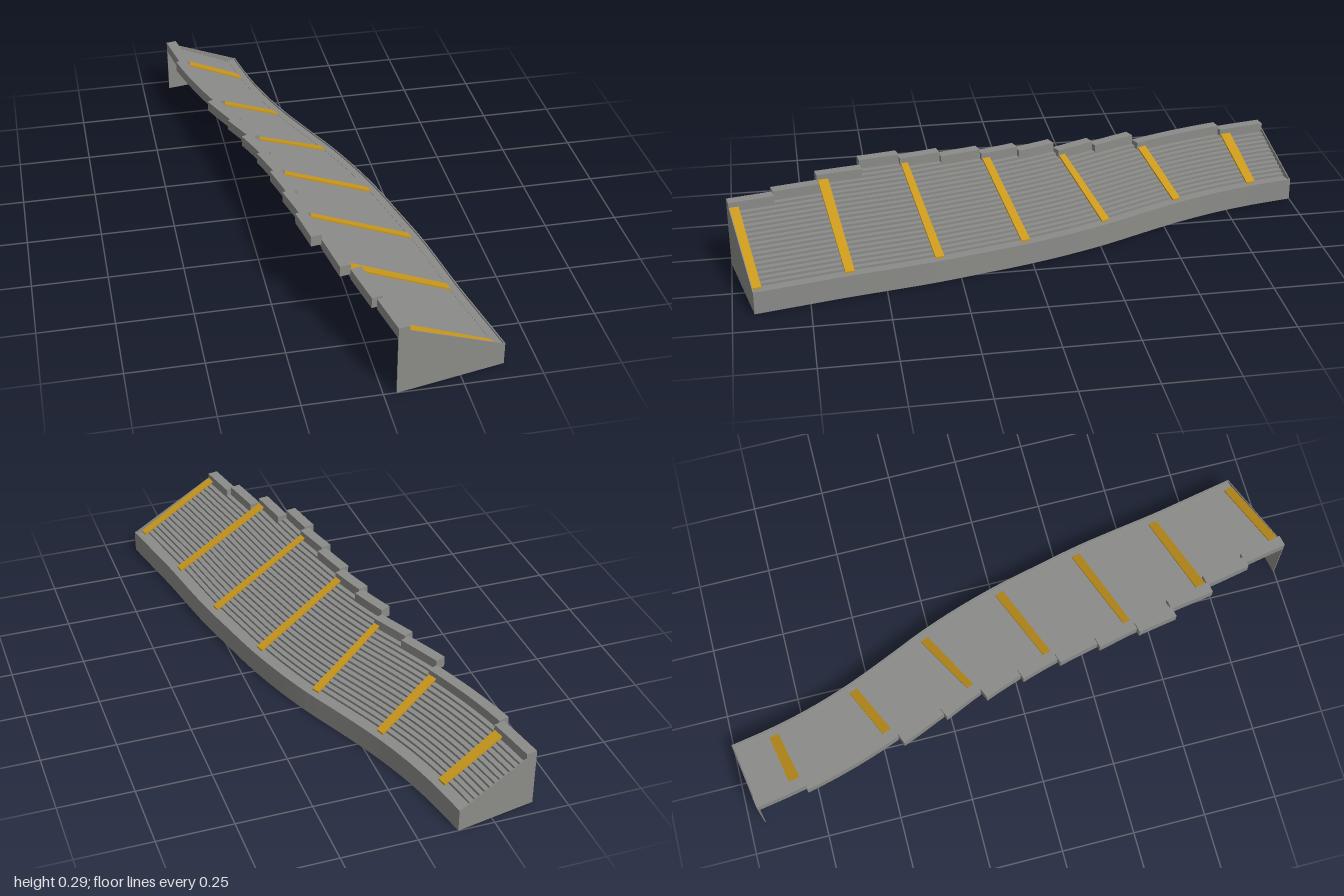
import * as THREE from 'three';

const concrete = new THREE.MeshStandardMaterial({ color: 0x8b8b88 });
concrete.name = 'concrete grey';
const yellow = new THREE.MeshStandardMaterial({ color: 0xc9971c });
yellow.name = 'aisle yellow';

// Foot line of the stand, one point per section boundary (x, z)
const foot = [
  [0.395, 0.93], [0.365, 0.78], [0.335, 0.63], [0.31, 0.48], [0.283, 0.33], [0.248, 0.18], [0.212, 0.03],
  [0.167, -0.12], [0.112, -0.27], [0.05, -0.41], [-0.01, -0.55], [-0.06, -0.69], [-0.1, -0.84], [-0.13, -1.0],
];
// Seating rows in each section
const rows = [17, 18, 20, 22, 21, 20, 19, 18, 16, 15, 13, 13, 12];
const SECTIONS = rows.length;
const DEPTH = 0.0173, RISE = 0.0087, WALK = 0.03, BACK = 0.037;

const path = new THREE.CatmullRomCurve3(foot.map(([x, z]) => new THREE.Vector3(x, 0, z)));

// Point at section position s, d back from the foot line, height y
function place(s, d, y) {
  const u = Math.min(1, Math.max(0, s / SECTIONS));
  const p = path.getPoint(u), t = path.getTangent(u);
  return [p.x + t.z * d, y, p.z - t.x * d];
}

// Solid sweep of a convex (d, y) section between two positions on the path
function sweep(section, s0, s1) {
  const n = section.length;
  const steps = Math.max(1, Math.round((s1 - s0) * 3));
  const rings = [];
  for (let i = 0; i <= steps; i++) {
    const s = s0 + ((s1 - s0) * i) / steps;
    rings.push(section.map(([d, y]) => place(s, d, y)));
  }
  const pos = [];
  const tri = (a, b, c) => pos.push(...a, ...b, ...c);
  for (let i = 0; i < steps; i++) {
    for (let j = 0; j < n; j++) {
      const k = (j + 1) % n, A = rings[i], B = rings[i + 1];
      tri(A[j], A[k], B[k]);
      tri(A[j], B[k], B[j]);
    }
  }
  for (let j = 1; j < n - 1; j++) {
    tri(rings[0][0], rings[0][j + 1], rings[0][j]);
    tri(rings[steps][0], rings[steps][j], rings[steps][j + 1]);
  }
  const g = new THREE.BufferGeometry();
  g.setAttribute('position', new THREE.Float32BufferAttribute(pos, 3));
  g.computeVertexNormals();
  return g;
}

const rect = (d0, d1, y0, y1) => [[d0, y0], [d1, y0], [d1, y1], [d0, y1]];

export function createModel() {
  const group = new THREE.Group();
  group.name = 'grandstand';
  const add = (name, geometry, material = concrete) => {
    const mesh = new THREE.Mesh(geometry, material);
    mesh.name = name;
    group.add(mesh);
  };

  // Wall and walkway along the foot
  add('frontWall', sweep(rect(0, 0.004, 0, 0.078), 0, SECTIONS));
  add('frontWalkway', sweep(rect(0.004, WALK, 0.055, 0.072), 0, SECTIONS));

  // Stepped rows, each as long as the sections that reach that high
  for (let k = 0; k < Math.max(...rows); k++) {
    const first = rows.findIndex((n) => n > k);
    const last = rows.findLastIndex((n) => n > k);
    const d = WALK + DEPTH * k, y = 0.05 + RISE * k;
    add('seatRow' + (k + 1), sweep(rect(d, d + DEPTH, y, y + 0.021), first, last + 1));
  }

  rows.forEach((n, i) => {
    const d = WALK + DEPTH * n, y = 0.0586 + RISE * n;
    // Parapet behind the top row
    add('backParapet' + (i + 1), sweep(rect(d, d + BACK, y, y + 0.037), i, i + 1));
    // Sloping aisle at every second section
    if (i % 2 === 0) {
      const top = 0.072 + RISE * n;
      add('aisle' + (i / 2 + 1), sweep([[WALK, 0.072], [d, top], [d, top + 0.006], [WALK, 0.078]], i + 0.02, i + 0.22), yellow);
    }
  });

  // Solid plates closing both ends
  const plate = (n) => {
    const w = WALK + DEPTH * n + BACK;
    return [[0, 0], [w, 0], [w, 0.0956 + RISE * n], [0, 0.075]];
  };
  add('frontEndWall', sweep(plate(rows[0]), 0, 0.02));
  add('rearEndWall', sweep(plate(rows[SECTIONS - 1]), SECTIONS - 0.02, SECTIONS));
  return group;
}
